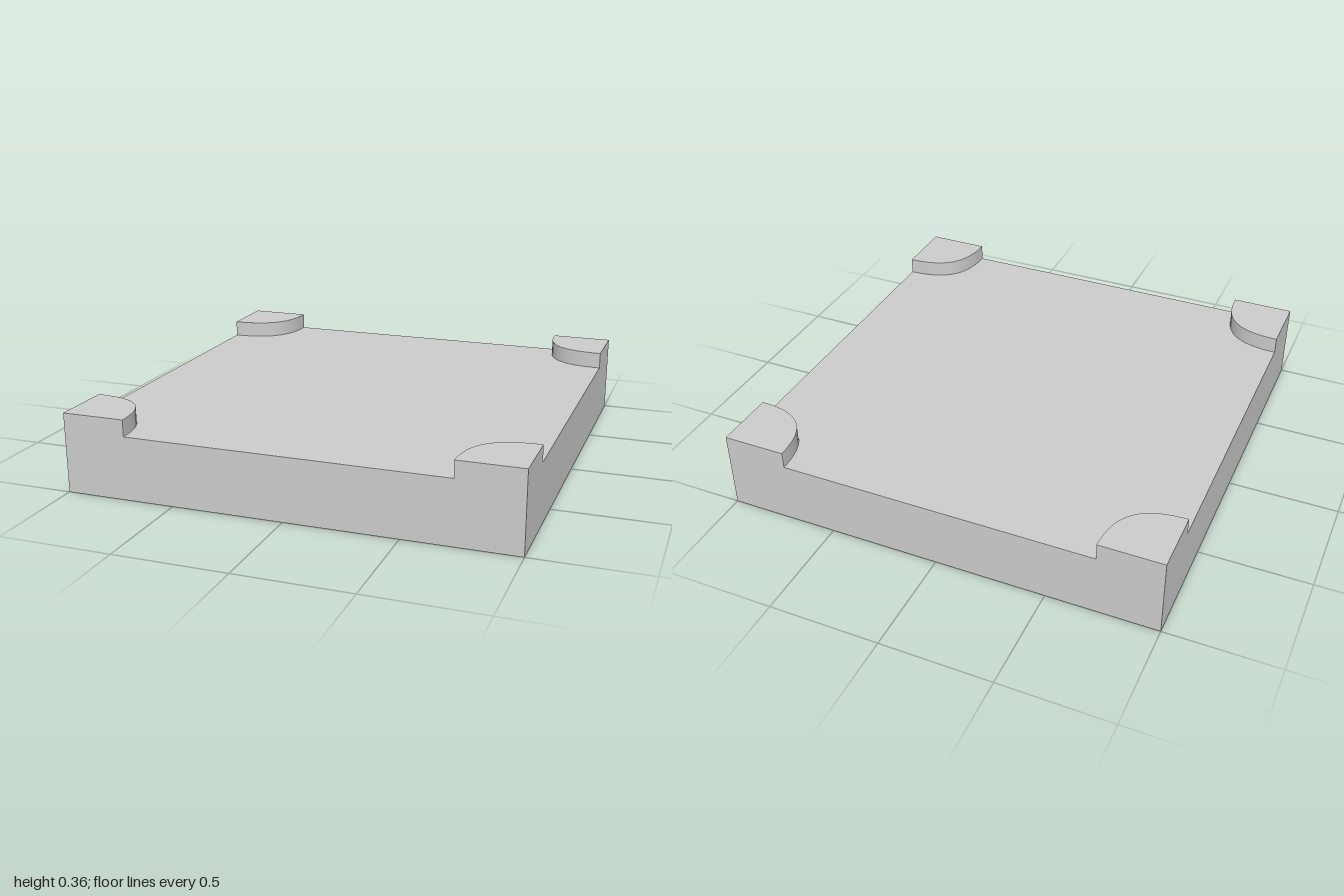
import * as THREE from 'three';
import { toCreasedNormals } from 'three/addons/utils/BufferGeometryUtils.js';

const SLAB = 0.285; // slab height
const TOP = 0.36;   // height of the raised corners
const PAD = 0.285;  // corner pad length along each edge

export function createModel() {
  const model = new THREE.Group();
  model.name = 'squareTile';
  const material = new THREE.MeshStandardMaterial({ color: 0xcccccc });

  // Flat square slab
  const slab = new THREE.Mesh(new THREE.BoxGeometry(2, SLAB, 2), material);
  slab.name = 'slab';
  slab.position.y = SLAB / 2;
  model.add(slab);

  // Corner pad outline: two straight outer edges and a full, rounded inner edge
  const inner = 1 - PAD;
  const handle = PAD * 0.7;
  const outline = new THREE.Shape();
  outline.moveTo(1, 1);
  outline.lineTo(inner, 1);
  outline.bezierCurveTo(inner, 1 - handle, 1 - handle, inner, 1, inner);
  outline.closePath();

  let padGeometry = new THREE.ExtrudeGeometry(outline, {
    depth: TOP - SLAB, bevelEnabled: false, curveSegments: 24,
  });
  padGeometry.rotateX(-Math.PI / 2);
  padGeometry = toCreasedNormals(padGeometry, Math.PI / 6);

  // The same pad turned to each corner
  const names = ['backLeftPad', 'backRightPad', 'frontRightPad', 'frontLeftPad'];
  names.forEach((name, i) => {
    const pad = new THREE.Mesh(padGeometry, material);
    pad.name = name;
    pad.position.y = SLAB;
    pad.rotation.y = i * Math.PI / 2;
    model.add(pad);
  });

  return model;
}
